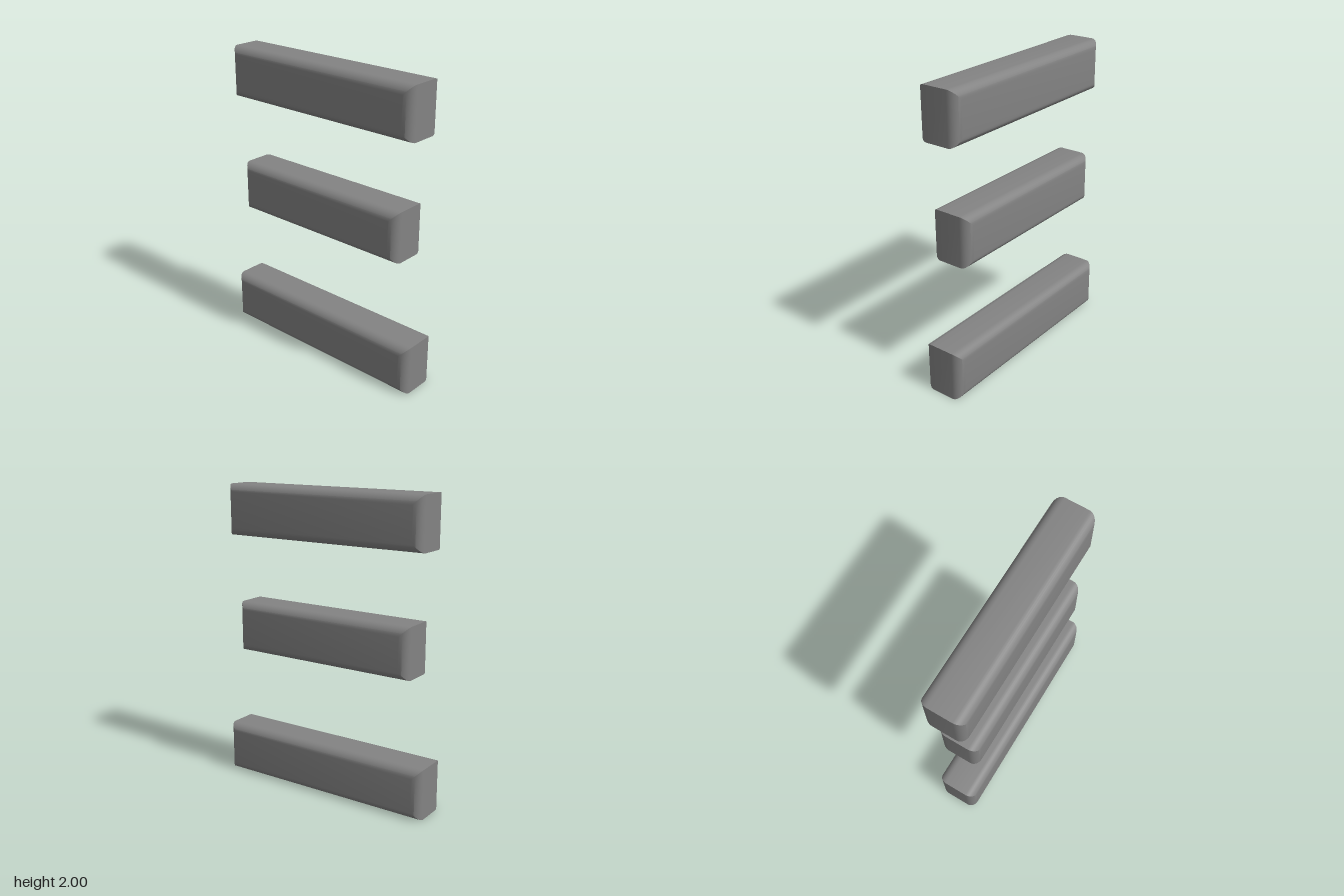
import * as THREE from 'three';
import { toCreasedNormals } from 'three/addons/utils/BufferGeometryUtils.js';

const DEPTH = 0.28;
const HEIGHT = 0.336;
const ROUND = 0.06;

// Bar with a sharp rectangular outline whose front and back rims are rounded over
function barGeometry(width) {
  const w = width / 2 - ROUND;
  const h = HEIGHT / 2 - ROUND;
  const outline = new THREE.Shape([
    new THREE.Vector2(-w, -h),
    new THREE.Vector2(w, -h),
    new THREE.Vector2(w, h),
    new THREE.Vector2(-w, h),
  ]);
  const geometry = new THREE.ExtrudeGeometry(outline, {
    depth: DEPTH - 2 * ROUND,
    bevelThickness: ROUND,
    bevelSize: ROUND,
    bevelSegments: 8,
  });
  geometry.translate(0, 0, ROUND - DEPTH / 2);
  return toCreasedNormals(geometry, Math.PI / 6);
}

export function createModel() {
  const group = new THREE.Group();
  group.name = 'stackedBars';
  const material = new THREE.MeshStandardMaterial({ color: 0x838383 });

  // Three separate bars, one above the other
  const bars = [
    { name: 'bottomBar', width: 1.52, y: HEIGHT / 2 },
    { name: 'middleBar', width: 1.298, y: 1.053 },
    { name: 'topBar', width: 1.446, y: 2 - HEIGHT / 2 },
  ];
  for (const { name, width, y } of bars) {
    const bar = new THREE.Mesh(barGeometry(width), material);
    bar.name = name;
    bar.position.y = y;
    group.add(bar);
  }
  return group;
}
